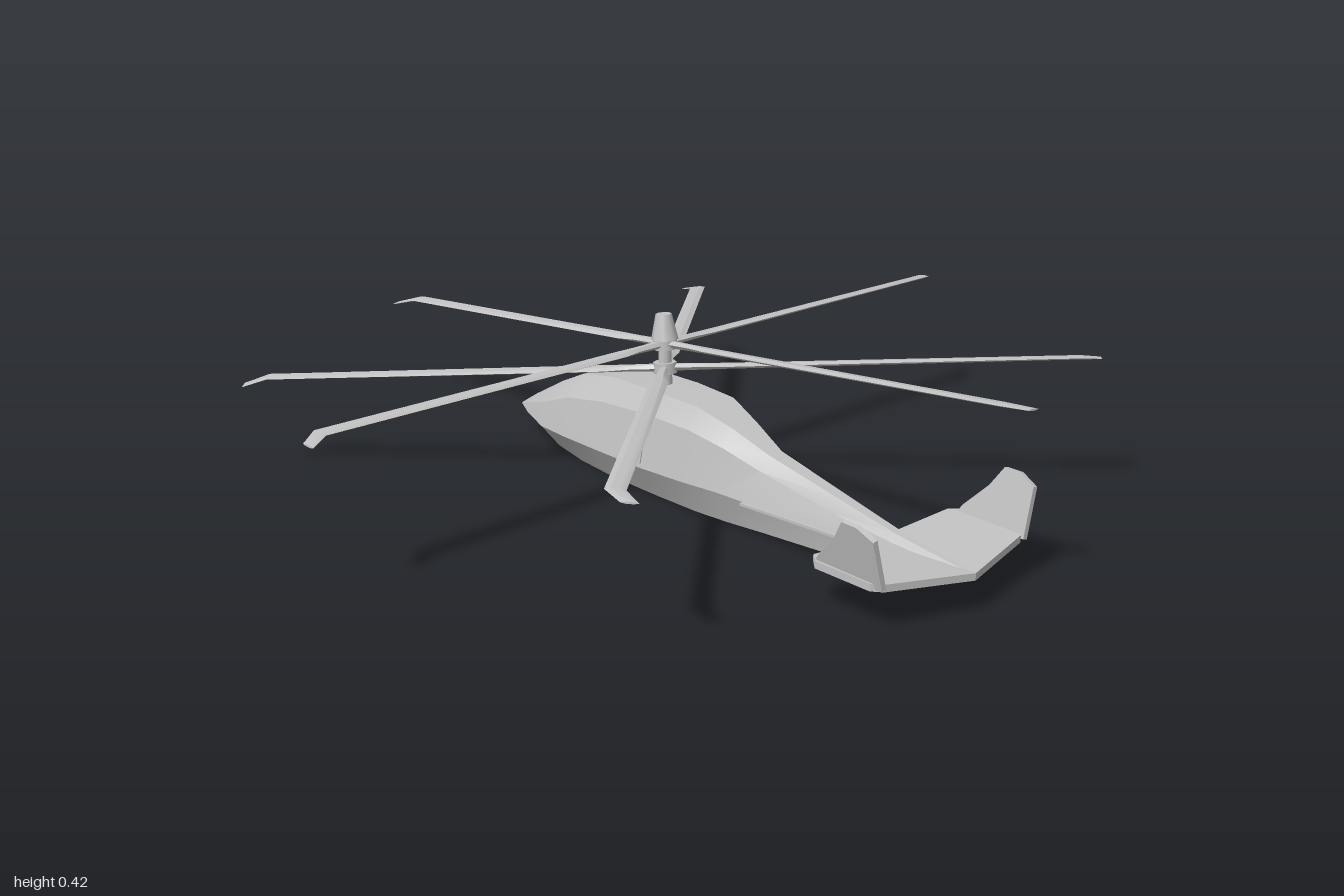
import * as THREE from 'three';
import { toCreasedNormals } from 'three/addons/utils/BufferGeometryUtils.js';

const hullGrey = new THREE.MeshStandardMaterial({ color: 0xc2c2c2 });
hullGrey.name = 'hull grey';

function part(name, geometry, parent) {
  const mesh = new THREE.Mesh(geometry, hullGrey);
  mesh.name = name;
  parent.add(mesh);
  return mesh;
}

// Skin a row of closed rings; each ring runs counter-clockwise about the path direction
function loft(rings, crease) {
  const n = rings[0].length, index = [];
  rings.slice(1).forEach((_, r) => {
    for (let i = 0; i < n; i++) {
      const a = r * n + i, b = r * n + (i + 1) % n;
      index.push(a, b, a + n, b, b + n, a + n);
    }
  });
  const last = (rings.length - 1) * n;
  for (let i = 1; i < n - 1; i++) index.push(0, i + 1, i, last, last + i, last + i + 1);
  const g = new THREE.BufferGeometry();
  g.setAttribute('position', new THREE.Float32BufferAttribute(rings.flat(2), 3));
  g.setIndex(index);
  return toCreasedNormals(g, crease);
}

function extrude(points, depth) {
  const shape = new THREE.Shape(points.map(([x, y]) => new THREE.Vector2(x, y)));
  return new THREE.ExtrudeGeometry(shape, { depth, bevelEnabled: false });
}

// Fuselage stations: z, then height and half-width of keel, chine, shoulder and roof
const stations = [
  [-0.58, 0.058, 0.001, 0.06, 0.002, 0.061, 0.002, 0.062, 0.001],
  [-0.50, 0.040, 0.018, 0.065, 0.042, 0.088, 0.032, 0.107, 0.012],
  [-0.36, 0.012, 0.045, 0.075, 0.100, 0.135, 0.082, 0.178, 0.030],
  [-0.25, 0.005, 0.058, 0.08, 0.114, 0.175, 0.095, 0.226, 0.048],
  [-0.12, 0, 0.062, 0.08, 0.114, 0.195, 0.092, 0.250, 0.058],
  [0.05, 0, 0.062, 0.08, 0.112, 0.205, 0.090, 0.253, 0.060],
  [0.18, 0, 0.058, 0.08, 0.098, 0.200, 0.080, 0.250, 0.054],
  [0.28, 0.002, 0.050, 0.08, 0.082, 0.180, 0.064, 0.220, 0.036],
  [0.38, 0.006, 0.040, 0.075, 0.065, 0.150, 0.045, 0.182, 0.020],
  [0.60, 0.018, 0.030, 0.075, 0.040, 0.112, 0.030, 0.140, 0.014],
  [0.75, 0.030, 0.020, 0.075, 0.028, 0.095, 0.022, 0.112, 0.010],
  [0.95, 0.070, 0.008, 0.078, 0.012, 0.083, 0.010, 0.088, 0.005],
];

function fuselageGeometry() {
  return loft(stations.map(([z, ...s]) => {
    const half = [0, 2, 4, 6].map(i => [s[i + 1], s[i], z]);
    return [...half, ...half.slice().reverse().map(([x, y]) => [-x, y, z])];
  }), 0.3);
}

// Blade stations along x: x, sweep, height, chord, thickness
function bladeGeometry() {
  const sections = [
    [0.02, 0, 0, 0.024, 0.016],
    [0.09, 0, 0, 0.024, 0.014],
    [0.14, 0, 0, 0.042, 0.012],
    [0.95, 0, 0, 0.042, 0.008],
    [1.0, -0.033, -0.007, 0.036, 0.004],
  ];
  return loft(sections.map(([x, z, y, c, t]) => [
    [x, y + t / 2, z - c * 0.2], [x, y + t / 2, z + c * 0.2], [x, y, z + c / 2],
    [x, y - t / 2, z + c * 0.2], [x, y - t / 2, z - c * 0.2], [x, y, z - c / 2],
  ]), 0.4);
}

function rotor(name, y, angle, parent) {
  const group = new THREE.Group();
  group.name = name;
  group.position.y = y;
  group.rotation.x = -0.075;
  const geometry = bladeGeometry();
  for (let i = 0; i < 4; i++) {
    const arm = new THREE.Group();
    arm.rotation.y = angle + i * Math.PI / 2;
    part('rotorBlade', geometry, arm).rotation.x = -0.1;
    group.add(arm);
  }
  part('rotorHub', new THREE.CylinderGeometry(0.028, 0.028, 0.026, 8), group);
  parent.add(group);
  return group;
}

export function createModel() {
  const model = new THREE.Group();
  model.name = 'helicopter';
  part('fuselage', fuselageGeometry(), model);

  // Coaxial rotors on one mast
  part('mast', new THREE.CylinderGeometry(0.014, 0.018, 0.13, 12), model).position.y = 0.3;
  rotor('lowerRotor', 0.291, Math.PI / 4, model);
  const upper = rotor('upperRotor', 0.349, 0.08, model);
  part('mastCap', new THREE.CylinderGeometry(0.019, 0.032, 0.06, 8), upper).position.y = 0.04;

  for (const s of [1, -1]) {
    // Half of the tailplane, rising gently towards its tip
    const plane = extrude([[0, 0.71], [0.2 * s, 0.71], [0.225 * s, 0.74],
      [0.222 * s, 0.89], [0.2 * s, 0.91], [0, 0.965]], 0.016).rotateX(Math.PI / 2);
    const p = plane.attributes.position;
    for (let i = 0; i < p.count; i++) p.setY(i, p.getY(i) + 0.09 + Math.abs(p.getX(i)) * 0.06);
    plane.computeVertexNormals();
    part('tailplane', plane, model);

    // Fin leaning outwards from the tailplane tip
    const fin = extrude([[0.725, 0], [0.915, 0], [0.912, 0.112], [0.87, 0.132],
      [0.83, 0.132], [0.8, 0.085], [0.745, 0.028]], 0.012);
    fin.translate(0, 0, -0.006).rotateY(-Math.PI / 2);
    const finMesh = part('tailFin', fin, model);
    finMesh.position.set(0.208 * s, 0.092, 0);
    finMesh.rotation.z = -0.24 * s;

    // Strake along the tail boom
    const strake = part('tailStrake', new THREE.BoxGeometry(0.014, 0.006, 0.5), model);
    strake.position.set(0.046 * s, 0.073, 0.6);
    strake.rotation.y = -0.1 * s;

    // Cabin door panel
    const door = part('cabinDoor', new THREE.BoxGeometry(0.004, 0.09, 0.15), model);
    door.position.set(0.103 * s, 0.135, -0.03);
    door.rotation.z = 0.19 * s;
  }
  return model;
}
